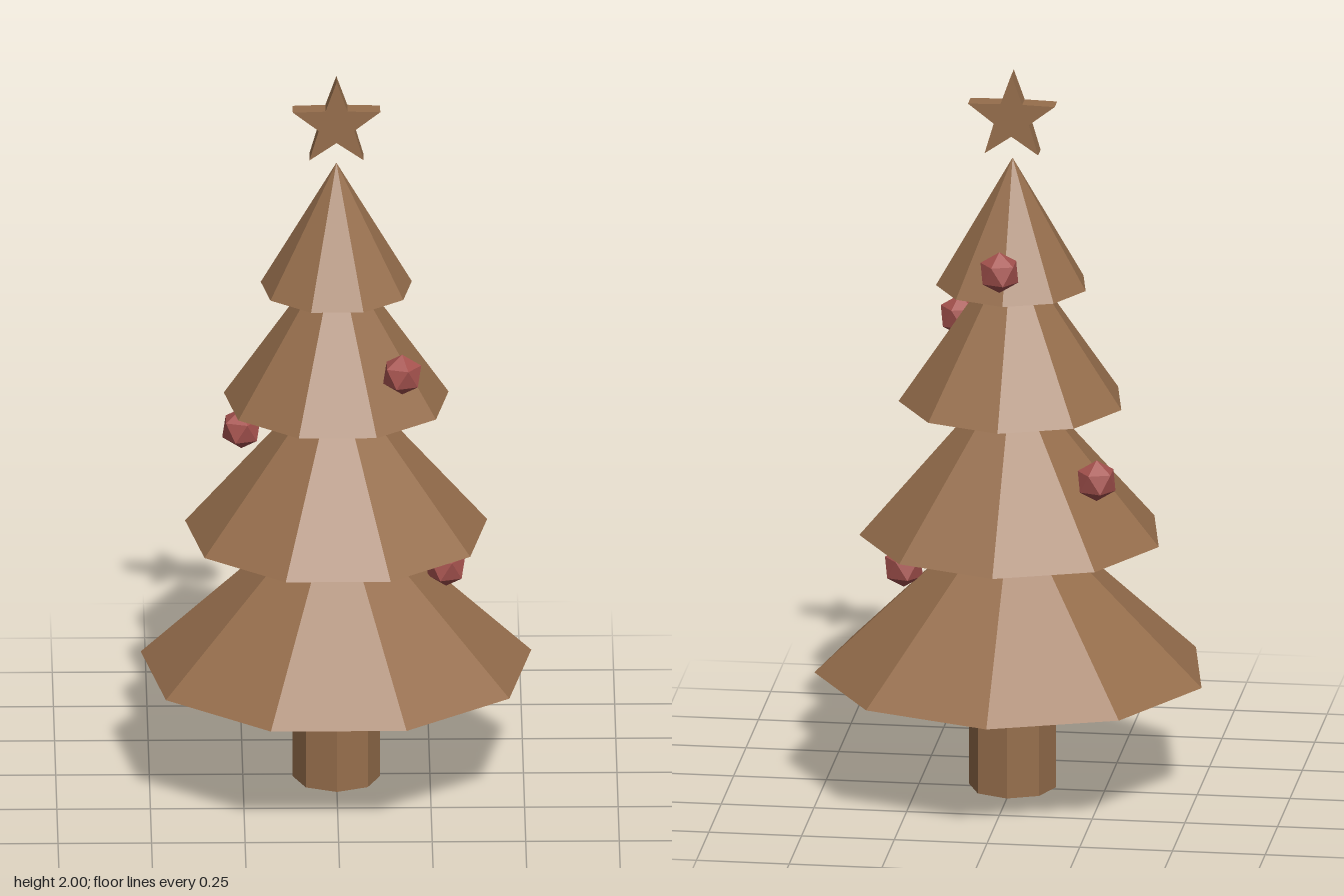
import * as THREE from 'three';

export function createModel() {
  const tree = new THREE.Group();
  tree.name = 'tree';

  const wood = new THREE.MeshStandardMaterial({ color: 0x966e4c, flatShading: true });
  wood.name = 'wood brown';
  const red = new THREE.MeshStandardMaterial({ color: 0xa5524e, flatShading: true });
  red.name = 'bauble red';

  const AXIS_Z = 0.016; // trunk axis, so the nine-sided skirt is centred in depth

  const add = (name, geometry, material, x, y, z) => {
    const mesh = new THREE.Mesh(geometry, material);
    mesh.name = name;
    mesh.position.set(x, y, z);
    tree.add(mesh);
  };

  // Octagonal trunk
  add('trunk', new THREE.CylinderGeometry(0.117, 0.117, 0.35, 8), wood, 0, 0.175, AXIS_Z);

  // Four nine-sided tiers with a corner pointing to the back: [radius, base y, height]
  const tiers = [
    [0.53, 0.324, 0.5],
    [0.41, 0.708, 0.475],
    [0.305, 1.082, 0.445],
    [0.205, 1.406, 0.355],
  ];
  tiers.forEach(([radius, base, height], i) => {
    const cone = new THREE.ConeGeometry(radius, height, 9).rotateY(Math.PI);
    add(`tier${i + 1}`, cone, wood, 0, base + height / 2, AXIS_Z);
  });

  // Five-pointed star floating above the tip
  const points = [];
  for (let i = 0; i < 10; i++) {
    const r = i % 2 ? 0.05 : 0.123;
    const a = Math.PI / 2 + (i * Math.PI) / 5;
    points.push(new THREE.Vector2(r * Math.cos(a), r * Math.sin(a)));
  }
  const star = new THREE.ExtrudeGeometry(new THREE.Shape(points), { depth: 0.05, bevelEnabled: false });
  star.translate(0, 0, -0.025);
  add('star', star, wood, 0, 1.877, AXIS_Z);

  // Icosahedral baubles standing on a vertex, spiralling up the tree
  const bauble = new THREE.IcosahedronGeometry(0.057, 0);
  bauble.rotateZ(-Math.atan(2 / (1 + Math.sqrt(5))));
  const spots = [
    [0.293, 0.602, 0.016],
    [-0.252, 0.925, -0.174],
    [0.173, 1.241, 0.243],
    [0, 1.522, -0.25],
  ];
  spots.forEach(([x, y, z], i) => add(`bauble${i + 1}`, bauble, red, x, y, z));

  return tree;
}
